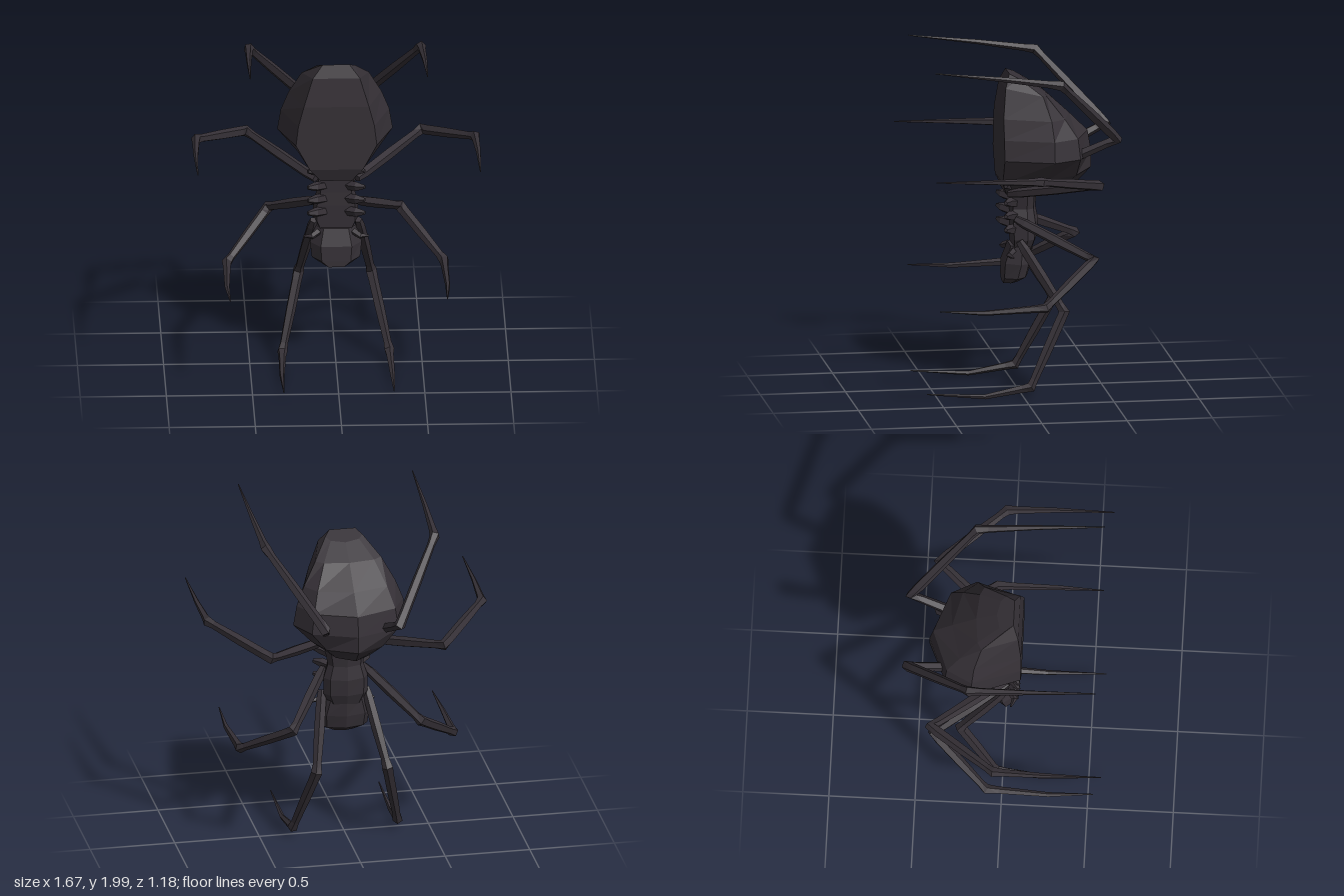
import * as THREE from 'three';

const material = new THREE.MeshStandardMaterial({ color: 0x353036, flatShading: true, roughness: 0.8 });
const V = (x, y, z) => new THREE.Vector3(x, y, z);

// Skin a list of rings (equal point counts, counter-clockwise around the path) and cap both ends
function loft(name, rings) {
  const n = rings[0].length, pos = [], idx = [];
  const centre = (r) => r.reduce((s, p) => s.add(p), V(0, 0, 0)).divideScalar(n);
  const all = [...rings.flat(), centre(rings[0]), centre(rings.at(-1))];
  all.forEach((p) => pos.push(p.x, p.y, p.z));
  const start = rings.length * n, last = start - n;
  for (let i = 0; i < n; i++) {
    const j = (i + 1) % n;
    for (let r = 0; r < rings.length - 1; r++) {
      const a = r * n, b = a + n;
      idx.push(a + i, a + j, b + j, a + i, b + j, b + i);
    }
    idx.push(start, j, i, start + 1, last + i, last + j);
  }
  const g = new THREE.BufferGeometry();
  g.setAttribute('position', new THREE.Float32BufferAttribute(pos, 3));
  g.setIndex(idx);
  const flat = g.toNonIndexed();
  flat.computeVertexNormals();
  const mesh = new THREE.Mesh(flat, material);
  mesh.name = name;
  return mesh;
}

// Body cross-section: y at front and back, half width, z of front / widest line / back, flat front share
function section([yf, yb, w, f, m, b], plate = 0.65) {
  const half = [[plate * w, f], [w, m], [0.76 * w, m + (b - m) * 0.62]];
  const pts = [[0, f], ...half, [0, b], ...half.reverse().map(([x, z]) => [-x, z])];
  return pts.map(([x, z]) => V(x, yf + (yb - yf) * (f - z) / (f - b), z));
}

// Jointed limb: points [x, y, z, radius], bending in the plane of z and the outward direction
function limb(name, path, side, sides = 5) {
  const p = path.map(([x, y, z]) => V(x * side, y, z));
  const out = p.at(-1).clone().sub(p[0]).setZ(0);
  const normal = V(0, 0, 1).cross(out).normalize();
  const rings = p.map((c, i) => {
    const t = V(0, 0, 0);
    if (i > 0) t.add(c.clone().sub(p[i - 1]).normalize());
    if (i < p.length - 1) t.add(p[i + 1].clone().sub(c).normalize());
    t.normalize();
    const u = normal.clone().addScaledVector(t, -normal.dot(t)).normalize();
    const v = t.clone().cross(u);
    return Array.from({ length: sides }, (_, k) => {
      const a = (k / sides) * Math.PI * 2;
      return c.clone().addScaledVector(u, Math.cos(a) * path[i][3]).addScaledVector(v, Math.sin(a) * path[i][3]);
    });
  });
  return loft(name, rings);
}

// Expand hip, knee, ankle and tip into a path with swollen joints
function legPath({ hip, knee, ankle, mid, tip }) {
  const mix = (a, b, t, r) => [0, 1, 2].map((k) => a[k] + (b[k] - a[k]) * t).concat(r);
  const path = [
    [...hip, 0.022], mix(hip, knee, 0.12, 0.03), mix(hip, knee, 0.5, 0.032), mix(hip, knee, 0.9, 0.026),
    [...knee, 0.034], mix(knee, ankle, 0.12, 0.031), mix(knee, ankle, 0.5, 0.03), mix(knee, ankle, 0.9, 0.024),
    [...ankle, 0.031], mix(ankle, mid, 0.2, 0.023), [...mid, 0.015], [...tip, 0.003],
  ];
  return path;
}

const legs = [
  { name: 'frontLeg', hip: [0.13, 0.9, 0.0], knee: [0.21, 0.49, -0.25], ankle: [0.31, 0.07, -0.04], mid: [0.32, 0.025, 0.23], tip: [0.32, 0.05, 0.57] },
  { name: 'secondLeg', hip: [0.12, 1.03, 0.02], knee: [0.38, 0.83, -0.4], ankle: [0.63, 0.61, -0.08], mid: [0.64, 0.595, 0.28], tip: [0.63, 0.61, 0.54] },
  { name: 'thirdLeg', hip: [0.12, 1.18, 0.06], knee: [0.51, 1.3, -0.41], ankle: [0.81, 1.4, -0.03], mid: [0.82, 1.41, 0.25], tip: [0.82, 1.42, 0.59] },
  { name: 'rearLeg', hip: [0.1, 1.23, 0.05], knee: [0.22, 1.51, -0.56], ankle: [0.5, 1.9, -0.19], mid: [0.51, 1.95, 0.15], tip: [0.515, 2.0, 0.55] },
];

export function createModel() {
  const model = new THREE.Group();
  model.name = 'spider';

  // Large faceted abdomen
  model.add(loft('abdomen', [
    [1.17, 1.22, 0.13, 0.07, -0.1, -0.36],
    [1.25, 1.3, 0.22, 0.1, -0.15, -0.44],
    [1.4, 1.4, 0.335, 0.1, -0.18, -0.44],
    [1.52, 1.52, 0.315, 0.1, -0.18, -0.42],
    [1.64, 1.63, 0.27, 0.1, -0.17, -0.31],
    [1.81, 1.76, 0.195, 0.08, -0.13, -0.17],
    [1.885, 1.84, 0.11, 0.05, 0, -0.05],
  ].map((s) => section(s, 0.7))));

  // Narrow thorax
  model.add(loft('thorax', [
    [0.82, 0.82, 0.09, 0.02, -0.04, -0.09],
    [0.9, 0.9, 0.13, 0.025, -0.05, -0.12],
    [1.0, 1.0, 0.13, 0.03, -0.05, -0.13],
    [1.08, 1.08, 0.105, 0.03, -0.05, -0.115],
    [1.16, 1.16, 0.12, 0.035, -0.05, -0.12],
    [1.28, 1.28, 0.12, 0.06, -0.05, -0.09],
  ].map((s) => section(s, 0.85))));

  // Head
  model.add(loft('head', [
    [0.635, 0.645, 0.075, 0.08, 0.04, -0.02],
    [0.67, 0.68, 0.14, 0.08, 0.01, -0.07],
    [0.76, 0.76, 0.15, 0.075, -0.01, -0.09],
    [0.86, 0.86, 0.12, 0.04, -0.02, -0.1],
  ].map((s) => section(s, 0.6))));

  // Legs, hip stubs and feelers on both sides
  for (const [side, label] of [[1, 'left'], [-1, 'right']]) {
    for (const leg of legs) model.add(limb(`${label} ${leg.name}`, legPath(leg), side));
    for (const y of [0.97, 1.05, 1.13, 1.23]) {
      model.add(limb(`${label} hip`, [[0.07, y - 0.01, 0.01, 0.03], [0.12, y, 0.06, 0.028], [0.165, y + 0.005, 0.085, 0.012]], side));
    }
    model.add(limb(`${label} feeler`, [[0.1, 0.84, 0.03, 0.02], [0.14, 0.82, 0.06, 0.018], [0.19, 0.815, 0.04, 0.005]], side, 4));
  }
  return model;
}
